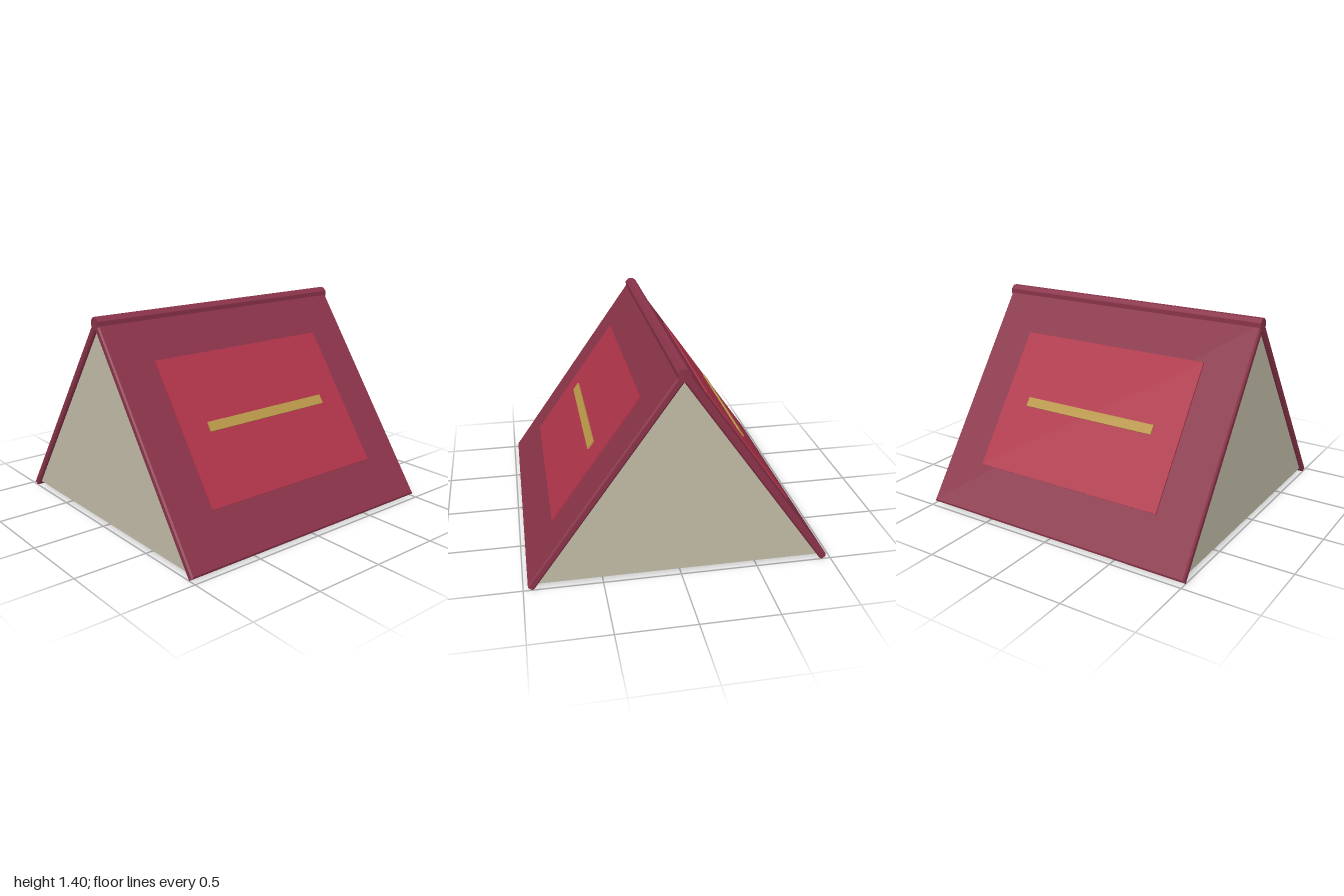
import * as THREE from 'three';

const material = (name, color) => {
  const m = new THREE.MeshStandardMaterial({ color });
  m.name = name;
  return m;
};

export function createModel() {
  const wine = material('wine cover', 0x8a3349);
  const red = material('red panel', 0xae344a);
  const gold = material('gold bar', 0xb99748);
  const paper = material('paper', 0xc2bba7);

  const model = new THREE.Group();
  model.name = 'tentBook';
  const add = (parent, name, geometry, mat) => {
    const mesh = new THREE.Mesh(geometry, mat);
    mesh.name = name;
    parent.add(mesh);
    return mesh;
  };

  const ridgeY = 1.36;
  const lean = Math.atan(0.707);
  const length = 1.655, thick = 0.05, bevel = 0.01;

  // Cover board outline with chamfered edges, hanging down from the ridge
  const outline = new THREE.Shape([
    new THREE.Vector2(-1 + bevel, -length + bevel),
    new THREE.Vector2(1 - bevel, -length + bevel),
    new THREE.Vector2(1 - bevel, -bevel),
    new THREE.Vector2(-1 + bevel, -bevel),
  ]);
  const boardGeometry = new THREE.ExtrudeGeometry(outline, {
    depth: thick - 2 * bevel, bevelEnabled: true,
    bevelSize: bevel, bevelThickness: bevel, bevelSegments: 1,
  }).translate(0, 0, -thick / 2 + bevel);

  // Two leaning covers, each with a raised panel and a bar
  for (const [name, turn] of [['frontCover', 0], ['backCover', Math.PI]]) {
    const side = new THREE.Group();
    side.name = name;
    side.rotation.y = turn;
    const slope = new THREE.Group();
    slope.name = name + 'Slope';
    slope.position.y = ridgeY;
    slope.rotation.x = -lean;
    side.add(slope);
    model.add(side);

    add(slope, 'coverBoard', boardGeometry, wine);
    add(slope, 'coverPanel', new THREE.BoxGeometry(1.4, 1.0, 0.02), red)
      .position.set(0, -0.818, thick / 2);
    add(slope, 'titleBar', new THREE.BoxGeometry(1.0, 0.065, 0.02), gold)
      .position.set(0, -0.816, thick / 2 + 0.01);
  }

  // Eight-sided spine along the ridge, flat side up
  const spineGeometry = new THREE.CylinderGeometry(0.0433, 0.0433, 2, 8)
    .toNonIndexed().rotateY(Math.PI / 8).rotateZ(Math.PI / 2);
  spineGeometry.computeVertexNormals();
  add(model, 'spine', spineGeometry, wine).position.y = ridgeY;

  // Triangular block of pages between the covers
  const triangle = new THREE.Shape([
    new THREE.Vector2(-0.925, 0.03),
    new THREE.Vector2(0.925, 0.03),
    new THREE.Vector2(0, 1.335),
  ]);
  const pages = new THREE.ExtrudeGeometry(triangle, { depth: 1.96, bevelEnabled: false })
    .translate(0, 0, -0.98).rotateY(Math.PI / 2);
  add(model, 'pageBlock', pages, paper);

  return model;
}
